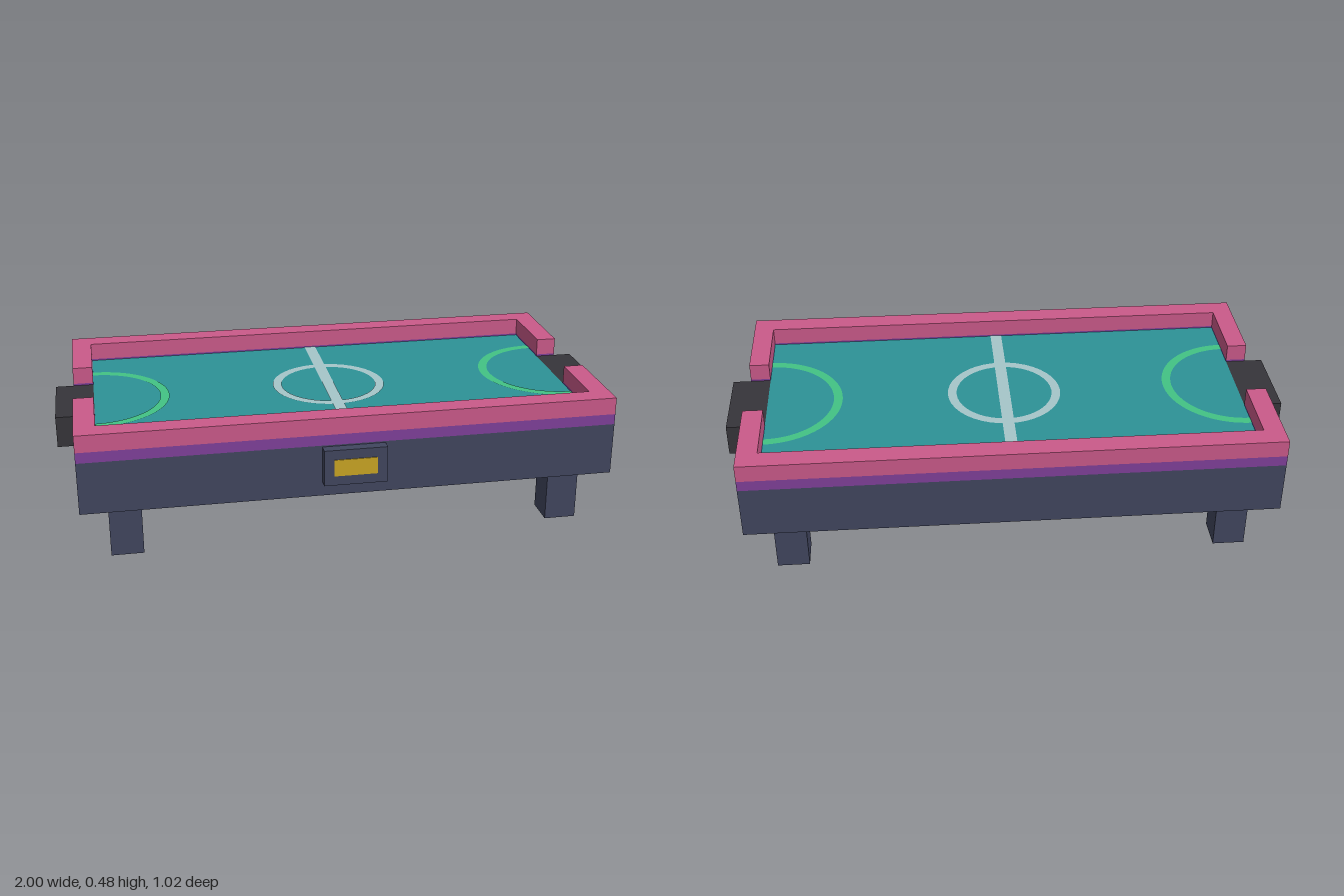
import * as THREE from 'three';

const mat = (name, color) => {
  const m = new THREE.MeshStandardMaterial({ color, side: THREE.DoubleSide });
  m.name = name;
  return m;
};

// Upright ribbon along a closed outline of [x, z] points, facing outward
function ribbon(outline, y0, y1) {
  const pos = [];
  outline.forEach(([ax, az], i) => {
    const [bx, bz] = outline[(i + 1) % outline.length];
    pos.push(ax, y0, az, bx, y0, bz, bx, y1, bz, ax, y0, az, bx, y1, bz, ax, y1, az);
  });
  const g = new THREE.BufferGeometry();
  g.setAttribute('position', new THREE.Float32BufferAttribute(pos, 3));
  g.computeVertexNormals();
  return g;
}

// Flat horizontal face filling an outline of [x, z] points
function flat(outline, y) {
  const shape = new THREE.Shape(outline.map(([x, z]) => new THREE.Vector2(x, -z)));
  return new THREE.ShapeGeometry(shape).rotateX(-Math.PI / 2).translate(0, y, 0);
}

const rect = (x0, x1, z0, z1) => [[x0, z1], [x1, z1], [x1, z0], [x0, z0]];

export function createModel() {
  const slate = mat('slate', 0x41465f);
  const pink = mat('pink', 0xcb5a8a);
  const purple = mat('purple', 0x80409a);
  const charcoal = mat('charcoal', 0x36353a);
  const teal = mat('teal', 0x2d9297);
  const chalk = mat('pale line', 0xa6c6ca);
  const green = mat('green line', 0x43c385);
  const yellow = mat('yellow', 0xcaa524);

  const model = new THREE.Group();
  model.name = 'airHockeyTable';
  const table = new THREE.Group();
  table.name = 'table';
  table.position.z = -0.02;
  model.add(table);
  const add = (name, geometry, material, parent = table) => {
    const m = new THREE.Mesh(geometry, material);
    m.name = name;
    parent.add(m);
    return m;
  };

  const X = 0.935, Z = 0.49, IX = 0.863, IZ = 0.413, GAP = 0.152, FIELD = 0.417;

  // Hollow body, open underneath
  add('bodyWalls', ribbon(rect(-X, X, -Z, Z), 0.198, 0.385), slate);

  // Two U-shaped halves of the rim, leaving a gap at each goal
  const half = [[-X, GAP], [-X, Z], [X, Z], [X, GAP], [IX, GAP], [IX, IZ], [-IX, IZ], [-IX, GAP]];
  for (const turn of [0, Math.PI]) {
    const rim = new THREE.Group();
    rim.name = turn ? 'backRim' : 'frontRim';
    rim.rotation.y = turn;
    table.add(rim);
    add('purpleBand', ribbon(half, 0.385, 0.423), purple, rim);
    add('rimSides', ribbon(half, 0.423, 0.484), pink, rim);
    add('rimTop', flat(half, 0.484), pink, rim);
  }

  // Playing field with markings on both faces
  add('playingField', flat(rect(-IX, IX, -IZ, IZ), FIELD), teal);
  const ring = (inner, outer, start, length) =>
    new THREE.RingGeometry(inner, outer, 40, 1, start, length).rotateX(-Math.PI / 2);
  for (const dy of [-0.002, 0.002]) {
    const y = FIELD + dy;
    add('centreLine', flat(rect(-0.021, 0.021, -IZ, IZ), y), chalk);
    add('centreCircle', ring(0.175, 0.207, 0, Math.PI * 2).translate(0, y, 0), chalk);
    for (const s of [-1, 1]) {
      const start = s > 0 ? Math.PI / 2 : -Math.PI / 2;
      add('goalArc', ring(0.24, 0.272, start, Math.PI).translate(s * IX, y, 0), green);
    }
  }

  // Goal boxes, open underneath
  for (const s of [-1, 1]) {
    const box = s > 0 ? rect(IX, 1, -GAP, GAP) : rect(-1, -IX, -GAP, GAP);
    add('goalSides', ribbon(box, 0.304, 0.416), charcoal);
    add('goalTop', flat(box, 0.416), charcoal);
  }

  // Legs
  for (const sx of [-1, 1]) for (const sz of [-1, 1]) {
    add('leg', new THREE.BoxGeometry(0.113, 0.198, 0.115), slate)
      .position.set(sx * 0.783, 0.099, sz * 0.367);
  }

  // Score panel on the front
  add('scorePanel', new THREE.BoxGeometry(0.22, 0.13, 0.037), slate)
    .position.set(0, 0.315, Z + 0.0185);
  add('scoreDisplay', new THREE.BoxGeometry(0.15, 0.06, 0.004), yellow)
    .position.set(0, 0.315, Z + 0.038);

  return model;
}
